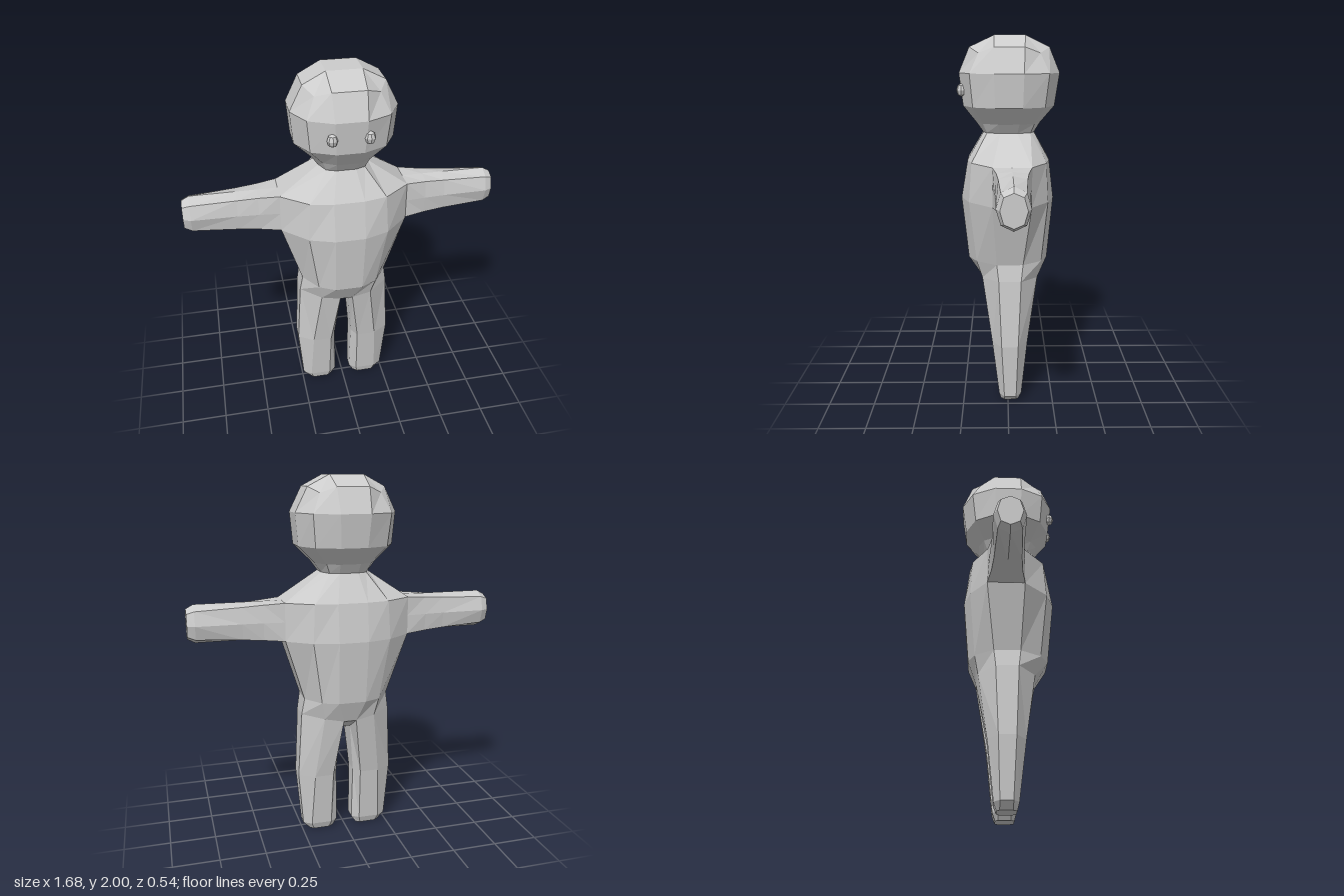
import * as THREE from 'three';

const material = new THREE.MeshStandardMaterial({ color: 0xcccccc, flatShading: true, side: THREE.DoubleSide });

// Skin between cross-sections; each ring is a list of [x, y, z].
function loft(rings, { closed = true, capStart = false, capEnd = false } = {}) {
  const pos = [];
  const same = (p, q) => p.every((v, i) => Math.abs(v - q[i]) < 1e-6);
  const tri = (a, b, c) => {
    if (!same(a, b) && !same(b, c) && !same(a, c)) pos.push(...a, ...b, ...c);
  };
  const n = rings[0].length;
  for (let r = 0; r < rings.length - 1; r++) {
    for (let i = 0; i < (closed ? n : n - 1); i++) {
      const j = (i + 1) % n;
      const [a, b, c, d] = [rings[r][i], rings[r][j], rings[r + 1][j], rings[r + 1][i]];
      tri(a, b, c);
      tri(a, c, d);
    }
  }
  const last = rings[rings.length - 1];
  for (let i = 1; i < n - 1; i++) {
    if (capStart) tri(rings[0][0], rings[0][i + 1], rings[0][i]);
    if (capEnd) tri(last[0], last[i], last[i + 1]);
  }
  const g = new THREE.BufferGeometry();
  g.setAttribute('position', new THREE.Float32BufferAttribute(pos, 3));
  g.computeVertexNormals();
  return g;
}

function part(name, geometry, mirrored = false) {
  const mesh = new THREE.Mesh(geometry, material);
  mesh.name = name;
  if (mirrored) mesh.scale.x = -1;
  return mesh;
}

// Symmetric 12-point ring: y of the faces, x of (inner, corner, side),
// z of (front, front corner, side front, side back, back corner, back), y of the corners.
function ring(y, [xi, xc, xs], [zf, zfc, zsf, zsb, zbc, zb], yc = y) {
  const half = [[xi, y, zf], [xc, yc, zfc], [xs, y, zsf], [xs, y, zsb], [xc, yc, zbc], [xi, y, zb]];
  const other = half.map(([x, py, z]) => [-x, py, z]).reverse();
  return [...half, ...other];
}

export function createModel() {
  const model = new THREE.Group();
  model.name = 'figure';

  // Torso and head share the neck ring
  const neck = ring(1.5, [0.05, 0.1, 0.13], [0.13, 0.11, 0.04, -0.05, -0.12, -0.14]);
  const hips = ring(0.72, [0.035, 0.14, 0.25], [0.145, 0.14, 0.05, -0.07, -0.16, -0.17], 0.71);
  for (const i of [0, 5, 6, 11]) hips[i][1] = 0.69;
  model.add(part('torso', loft([
    hips,
    ring(0.81, [0.075, 0.16, 0.235], [0.215, 0.17, 0.06, -0.08, -0.18, -0.215]),
    ring(1.15, [0.08, 0.21, 0.34], [0.25, 0.205, 0.08, -0.12, -0.21, -0.245]),
    ring(1.355, [0.08, 0.2, 0.34], [0.215, 0.19, 0.08, -0.12, -0.2, -0.22]),
    neck,
  ])));

  // The crown ring collapses onto four points
  model.add(part('head', loft([
    neck,
    ring(1.55, [0.055, 0.12, 0.165], [0.165, 0.13, 0.05, -0.06, -0.14, -0.17]),
    ring(1.64, [0.07, 0.19, 0.255], [0.235, 0.18, 0.065, -0.075, -0.19, -0.245]),
    ring(1.81, [0.08, 0.205, 0.27], [0.255, 0.195, 0.07, -0.08, -0.21, -0.27]),
    ring(1.94, [0.085, 0.16, 0.205], [0.2, 0.15, 0.07, -0.085, -0.165, -0.215], 1.91),
    ring(2, [0.09, 0.09, 0.09], [0.07, 0.07, 0.07, -0.09, -0.09, -0.09]),
  ], { capEnd: true })));

  // Arm: eight-sided, square at the shoulder and round at the hand
  const armRing = (x, ry, rz, dy, dz, zc = -0.02) => [
    [0, 1], [1, 2], [2, 0], [1, -2], [0, -1], [-1, -2], [-2, 0], [-1, 2],
  ].map(([sz, sy]) => {
    const diagonal = sz !== 0 && sy !== 0;
    return [x,
      1.253 + Math.sign(sy) * (diagonal ? dy : ry),
      zc + Math.sign(sz) * (diagonal ? dz : rz)];
  });
  const arm = loft([
    armRing(0.34, 0.102, 0.1, 0.102, 0.1),
    armRing(0.45, 0.102, 0.09, 0.094, 0.08),
    armRing(0.56, 0.102, 0.083, 0.086, 0.07),
    armRing(0.8, 0.102, 0.08, 0.074, 0.058),
    armRing(0.84, 0.08, 0.062, 0.06, 0.045),
  ], { capEnd: true });

  // Leg: inner edge, front and back faces, outer face
  const legRing = (y, [xin, xfi, xfo, xout], [zf, zsf, zsb, zb]) => [
    [xfi, y, zf], [xfo, y, zf], [xout, y, zsf], [xout, y, zsb],
    [xfo, y, zb], [xfi, y, zb], [xin, y, zsb], [xin, y, zsf],
  ];
  const inner = [[0.03, 0.62, -0.06], [0.03, 0.62, 0.05]];
  const leg = loft([
    legRing(0, [0.07, 0.095, 0.185, 0.205], [0.04, 0.02, -0.045, -0.06]),
    legRing(0.04, [0.045, 0.085, 0.2, 0.245], [0.05, 0.02, -0.045, -0.075]),
    legRing(0.35, [0.05, 0.08, 0.185, 0.27], [0.088, 0.035, -0.055, -0.108]),
    [...hips.slice(0, 6), ...inner],
  ], { capStart: true });

  for (const [side, mirrored] of [['left', false], ['right', true]]) {
    model.add(part(side + 'Arm', arm, mirrored), part(side + 'Leg', leg, mirrored));
    const eye = part(side + 'Eye', new THREE.SphereGeometry(0.034, 8, 4));
    eye.scale.set(0.82, 1, 0.75);
    eye.position.set(mirrored ? -0.092 : 0.092, 1.722, 0.243);
    model.add(eye);
  }

  // Crotch strip between the legs
  const edge = [hips[0], inner[1], inner[0], hips[5]];
  model.add(part('crotch', loft([edge.map(([x, y, z]) => [-x, y, z]), edge], { closed: false })));

  return model;
}
